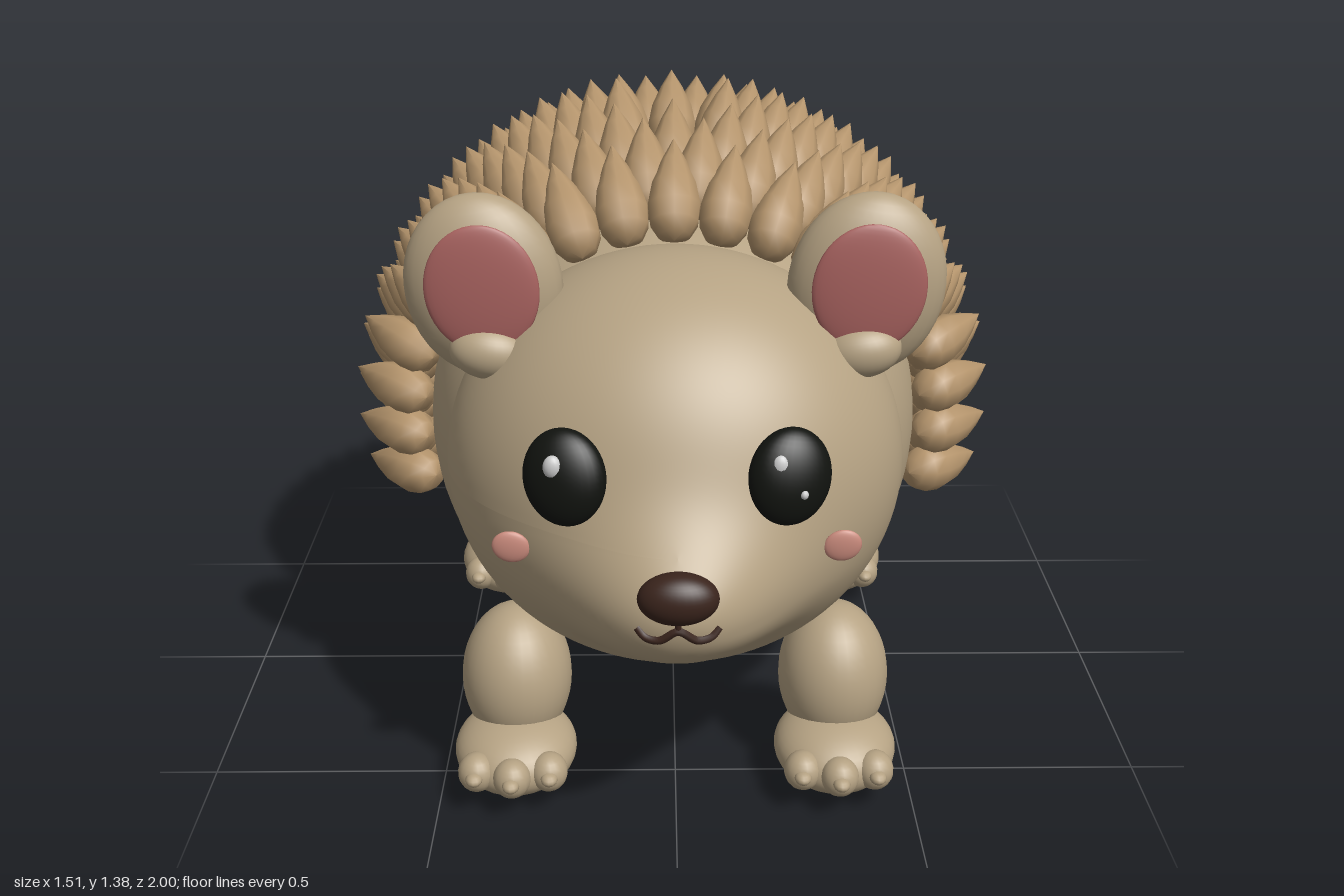
import * as THREE from 'three';
import { mergeGeometries } from 'three/addons/utils/BufferGeometryUtils.js';

const paint = (color) => new THREE.MeshStandardMaterial({ color });
const skin = paint(0xb5a283);
const quillTan = paint(0xb4946c);
const pink = paint(0xa8625f);
const blush = paint(0xc98a7c);
const black = paint(0x11130f);
const brown = paint(0x3a241c);
const white = paint(0xf2f2f2);

// Body ellipsoid, shared by the body mesh and the quill layout
const BODY = { y: 0.64, z: -0.08, r: 0.56, rz: 0.7 };

function ellipsoid(name, mat, pos, radii, rot = [0, 0, 0], seg = 32) {
  const mesh = new THREE.Mesh(new THREE.SphereGeometry(1, seg, Math.round(seg * 0.7)), mat);
  mesh.name = name;
  mesh.position.set(...pos);
  mesh.scale.set(...radii);
  mesh.rotation.set(...rot);
  return mesh;
}

// Head: an ellipsoid whose front is pulled out into a soft, round-chinned muzzle
function makeHead() {
  const geo = new THREE.SphereGeometry(1, 96, 96);
  geo.rotateX(Math.PI / 2);
  geo.scale(0.47, 0.435, 0.42);
  geo.translate(0, 0.72, 0.42);
  const p = geo.attributes.position;
  for (let i = 0; i < p.count; i++) {
    if (p.getZ(i) < 0.42) continue;
    const dy = p.getY(i) - 0.575;
    const u = p.getX(i) / 0.215, v = dy / (dy > 0 ? 0.165 : 0.125);
    const bump = Math.exp(-Math.pow(u * u + v * v, dy > 0 ? 1.2 : 1.2 - 4 * dy));
    p.setZ(i, p.getZ(i) + 0.15 * bump);
  }
  geo.computeVertexNormals();
  const head = new THREE.Mesh(geo, skin);
  head.name = 'head';
  return head;
}

// Teardrop quills in staggered rings round the back, leaning outward and backward
function makeQuills() {
  const profile = [[0, 0], [0.034, 0.01], [0.052, 0.04], [0.057, 0.08], [0.048, 0.13], [0.027, 0.185], [0, 0.24]]
    .map(([x, y]) => new THREE.Vector2(x, y));
  const quill = new THREE.LatheGeometry(profile, 10);
  const parts = [];
  const up = new THREE.Vector3(0, 1, 0);
  const unit = new THREE.Vector3(1, 1, 1);

  const addQuill = (theta, phi) => {
    const n0 = new THREE.Vector3(Math.sin(theta) * Math.sin(phi), Math.sin(theta) * Math.cos(phi), Math.cos(theta));
    const pos = new THREE.Vector3(n0.x * BODY.r, BODY.y + n0.y * BODY.r, BODY.z + n0.z * BODY.rz);
    const ax = Math.abs(pos.x);
    // The front edge sweeps forward over the crown; a small patch behind it stays bare
    const frontEdge = 0.1 + 0.2 * THREE.MathUtils.smoothstep(pos.y, 0.87, 0.98);
    if (pos.y < 0.5 || pos.z > frontEdge) return;
    if (ax < 0.09 && pos.y > 1 && pos.z > -0.17 && pos.z < 0.06) return;
    const normal = new THREE.Vector3(n0.x / BODY.r, n0.y / BODY.r, n0.z / BODY.rz).normalize();
    const back = 0.75 + 0.7 * Math.max(0, normal.z);
    const dir = normal.clone().multiplyScalar(0.85).add(new THREE.Vector3(0, 0, -back));
    if (dir.y < 0) dir.y *= 0.3;
    dir.normalize();
    pos.addScaledVector(normal, 0.015 + 0.035 * Math.min(0, normal.z));
    const q = new THREE.Quaternion().setFromUnitVectors(up, dir);
    parts.push(quill.clone().applyMatrix4(new THREE.Matrix4().compose(pos, q, unit)));
  };

  let ring = 0;
  for (let theta = 1.04; theta < Math.PI; theta += 0.117, ring++) {
    const step = 0.095 / (BODY.r * Math.sin(theta));
    for (let phi = ring % 2 ? step / 2 : 0; phi < Math.PI; phi += step) {
      addQuill(theta, phi);
      if (phi > 0) addQuill(theta, -phi);
    }
  }
  const mesh = new THREE.Mesh(mergeGeometries(parts), quillTan);
  mesh.name = 'quills';
  return mesh;
}

function makeLeg(name, x, z) {
  const leg = new THREE.Group();
  leg.name = name;
  leg.position.set(x, 0, z);
  leg.add(
    ellipsoid('upperLeg', skin, [0, 0.215, 0], [0.118, 0.16, 0.128], [-0.12, 0, 0]),
    ellipsoid('foot', skin, [0, 0.086, 0.085], [0.13, 0.077, 0.14], [0.1, 0, 0]),
    ellipsoid('footPad', pink, [0, 0.018, 0.08], [0.1, 0.017, 0.075])
  );
  for (const i of [-1, 0, 1]) {
    const tz = i ? 0.185 : 0.21;
    leg.add(
      ellipsoid('toe', skin, [i * 0.075, 0.085, tz], [0.04, 0.042, 0.042], [0, 0, 0], 18),
      ellipsoid('claw', skin, [i * 0.078, 0.09, tz + 0.037], [0.018, 0.014, 0.022], [0, 0, 0], 12)
    );
  }
  return leg;
}

function makeEar(name, s) {
  const ear = new THREE.Group();
  ear.name = name;
  ear.add(
    ellipsoid('earShell', skin, [s * 0.378, 1.102, 0.47], [0.157, 0.188, 0.08], [0, 0, -s * 0.15]),
    ellipsoid('innerEar', pink, [s * 0.375, 1.115, 0.543], [0.112, 0.13, 0.018], [0, 0, -s * 0.12]),
    ellipsoid('earLobe', skin, [s * 0.365, 0.985, 0.53], [0.08, 0.055, 0.055], [0, 0, s * 0.15])
  );
  return ear;
}

function makeEye(name, s) {
  const eye = new THREE.Group();
  eye.name = name;
  const x = s * 0.209;
  eye.add(
    ellipsoid('eyeball', black, [x, 0.835, 0.8], [0.08, 0.093, 0.045], [-0.2, s * 0.25, -s * 0.12]),
    ellipsoid('largeGlint', white, [x - 0.02, 0.867, 0.828], [0.018, 0.023, 0.014], [0, 0, 0], 16),
    ellipsoid('smallGlint', white, [x + 0.024, 0.815, 0.84], [0.008, 0.009, 0.009], [0, 0, 0], 12)
  );
  return eye;
}

// Mouth: a small w-shaped line below the nose
function makeMouth() {
  const pts = [[-0.075, 0.604, 0.952], [-0.06, 0.588, 0.96], [-0.035, 0.585, 0.967], [0, 0.606, 0.972],
    [0.035, 0.585, 0.967], [0.06, 0.588, 0.96], [0.075, 0.604, 0.952]].map((p) => new THREE.Vector3(...p));
  const mouth = new THREE.Group();
  mouth.name = 'mouth';
  const lips = new THREE.Mesh(new THREE.TubeGeometry(new THREE.CatmullRomCurve3(pts), 32, 0.008, 8), brown);
  lips.name = 'lipLine';
  const groove = new THREE.Mesh(new THREE.CylinderGeometry(0.006, 0.006, 0.03, 8), brown);
  groove.name = 'noseGroove';
  groove.position.set(0, 0.618, 0.972);
  mouth.add(lips, groove);
  return mouth;
}

export function createModel() {
  const model = new THREE.Group();
  model.name = 'hedgehog';
  model.add(
    ellipsoid('body', skin, [0, BODY.y, BODY.z], [BODY.r, BODY.r, BODY.rz], [0, 0, 0], 64),
    makeHead(),
    makeQuills(),
    ellipsoid('nose', brown, [0, 0.663, 0.955], [0.075, 0.05, 0.045]),
    makeMouth(),
    ellipsoid('tail', skin, [0, 0.222, -0.63], [0.075, 0.063, 0.125], [0.05, 0, 0])
  );
  for (const [side, s] of [['left', 1], ['right', -1]]) {
    model.add(
      makeEar(side + 'Ear', s),
      makeEye(side + 'Eye', s),
      ellipsoid(side + 'Cheek', blush, [s * 0.316, 0.675, 0.765], [0.037, 0.032, 0.01], [0, 0, s * 0.3], 20),
      makeLeg(side + 'FrontLeg', s * 0.342, 0.445),
      makeLeg(side + 'HindLeg', s * 0.418, -0.465)
    );
  }
  return model;
}
